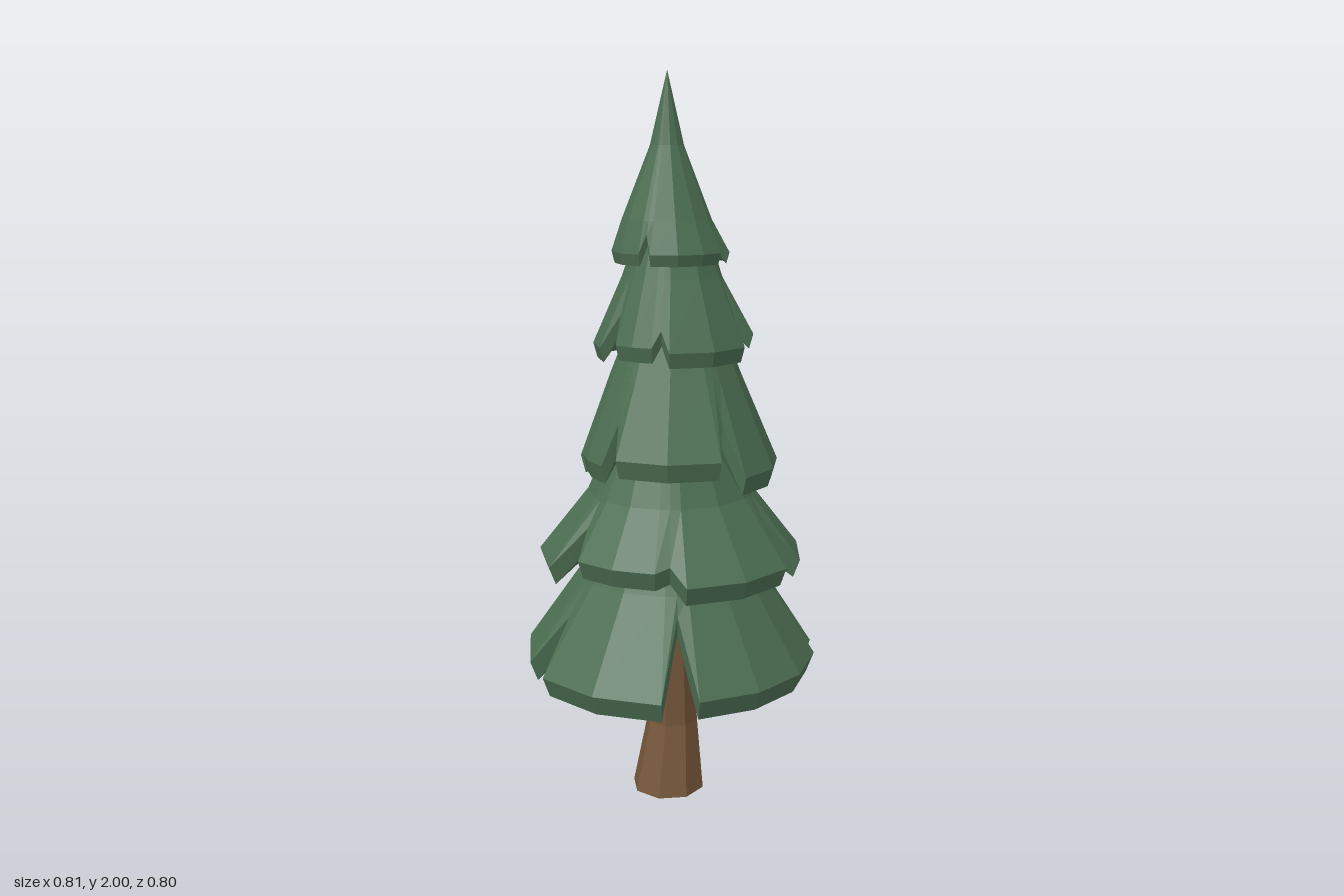
import * as THREE from 'three';

// Skin a stack of closed rings (counterclockwise from above, inner/lower ring first) with flat faces.
function loft(rings, material, name) {
  const pos = [];
  const tri = (a, b, c) => pos.push(...a, ...b, ...c);
  for (let k = 0; k < rings.length - 1; k++) {
    const low = rings[k], high = rings[k + 1], n = low.length;
    for (let i = 0; i < n; i++) {
      const j = (i + 1) % n;
      tri(low[i], low[j], high[j]);
      tri(low[i], high[j], high[i]);
    }
  }
  const geometry = new THREE.BufferGeometry();
  geometry.setAttribute('position', new THREE.Float32BufferAttribute(pos, 3));
  geometry.computeVertexNormals();
  const mesh = new THREE.Mesh(geometry, material);
  mesh.name = name;
  return mesh;
}

const lerp = THREE.MathUtils.lerp;

// Rim of a skirt: each lobe is [notch angle in degrees, notch depth, lobe radius, lift]
// and runs from its own notch to the next one.
function rimPoints(lobes) {
  const rim = [];
  const inset = 7;
  lobes.forEach(([angle, depth, radius, lift = 0], i) => {
    const next = i + 1 < lobes.length ? lobes[i + 1][0] : lobes[0][0] + 360;
    rim.push({ angle, radius: radius * 0.95, depth, lift });
    const span = next - angle - 2 * inset;
    const steps = Math.max(2, Math.round(span / 28));
    for (let s = 0; s <= steps; s++) {
      rim.push({ angle: angle + inset + (span * s) / steps, radius, depth: 0, lift });
    }
  });
  return rim;
}

// One skirt of branches: hollow underside, thick lip, then the slope up to the next skirt.
function skirt(name, material, { center: [cx, cz], lip: [y0, y1], slope, lobes }) {
  const rim = rimPoints(lobes);
  const ring = (radiusAt, heightAt) => rim.map((p) => {
    const a = THREE.MathUtils.degToRad(p.angle), r = radiusAt(p);
    return [cx + Math.cos(a) * r, heightAt(p), cz - Math.sin(a) * r];
  });
  const level = (r, y) => ring(() => r, () => y);
  const [rs, ys] = slope[0];
  const hollowY = lerp(ys, y0, 0.4);
  // A notch slides the rim up the slope towards the shoulder
  const rimRadius = (p) => lerp(p.radius, rs, p.depth);
  const rimHeight = (p) => lerp(y1 + p.lift, ys, p.depth);
  return loft([
    level(0, hollowY + 0.03),
    level(rs * 0.72, hollowY),
    ring((p) => rimRadius(p) * 0.95, (p) => rimHeight(p) - (y1 - y0)),
    ring(rimRadius, rimHeight),
    ...slope.map(([r, y]) => level(r, y)),
  ], material, name);
}

export function createModel() {
  const tree = new THREE.Group();
  tree.name = 'pineTree';
  const needles = new THREE.MeshStandardMaterial({ color: 0x4c6e52 });
  needles.name = 'needle green';
  const bark = new THREE.MeshStandardMaterial({ color: 0x75563a });
  bark.name = 'bark brown';

  // Eight-sided trunk, flared at the foot: [radius, y, x, z] per ring
  const trunkRings = [
    [0, 0, -0.01, 0.008], [0.103, 0, -0.01, 0.008], [0.073, 0.2, 0.006, -0.004],
    [0.06, 0.45, 0.003, 0.003], [0.05, 0.8, 0, 0], [0, 0.8, 0, 0],
  ].map(([r, y, x, z]) => Array.from({ length: 8 }, (_, i) => {
    const a = ((i + 0.3) / 8) * Math.PI * 2;
    return [x + Math.cos(a) * r, y, z - Math.sin(a) * r];
  }));
  tree.add(loft(trunkRings, bark, 'trunk'));

  // Overlapping skirts of branches, from the ground up
  tree.add(skirt('lowestBranches', needles, {
    center: [0, 0], lip: [0.36, 0.415], slope: [[0.255, 0.65], [0.17, 0.82]],
    lobes: [[-16, 0.8, 0.405], [41, 0.45, 0.41, 0.01], [116, 0.35, 0.412, 0.01], [191, 0.6, 0.417], [257, 0.8, 0.405]],
  }));
  tree.add(skirt('lowerBranches', needles, {
    center: [0, 0], lip: [0.655, 0.705], slope: [[0.23, 0.88], [0.15, 1.06]],
    lobes: [[-40, 0.7, 0.367], [32, 0.7, 0.368], [198, 0.5, 0.328, 0.03], [253, 0.25, 0.358]],
  }));
  tree.add(skirt('middleBranches', needles, {
    center: [0.015, -0.005], lip: [0.91, 0.96], slope: [[0.18, 1.2], [0.1, 1.4]],
    lobes: [[-5, 0.4, 0.292], [94, 0.25, 0.272], [158, 0.45, 0.256, 0.02], [210, 0.45, 0.265, 0.045], [287, 0.55, 0.283]],
  }));
  tree.add(skirt('upperBranches', needles, {
    center: [0, 0.015], lip: [1.25, 1.29], slope: [[0.135, 1.47], [0.085, 1.62]],
    lobes: [[-36, 0.65, 0.22, 0.03], [44, 0.6, 0.214], [197, 0.45, 0.195, 0.01], [244, 0.3, 0.212]],
  }));
  tree.add(skirt('treeTop', needles, {
    center: [-0.015, 0.015], lip: [1.505, 1.535], slope: [[0.12, 1.62], [0.045, 1.81], [0, 2]],
    lobes: [[-36, 0.5, 0.168], [71, 0.5, 0.15], [163, 0.35, 0.146], [230, 0.6, 0.157]],
  }));
  return tree;
}
